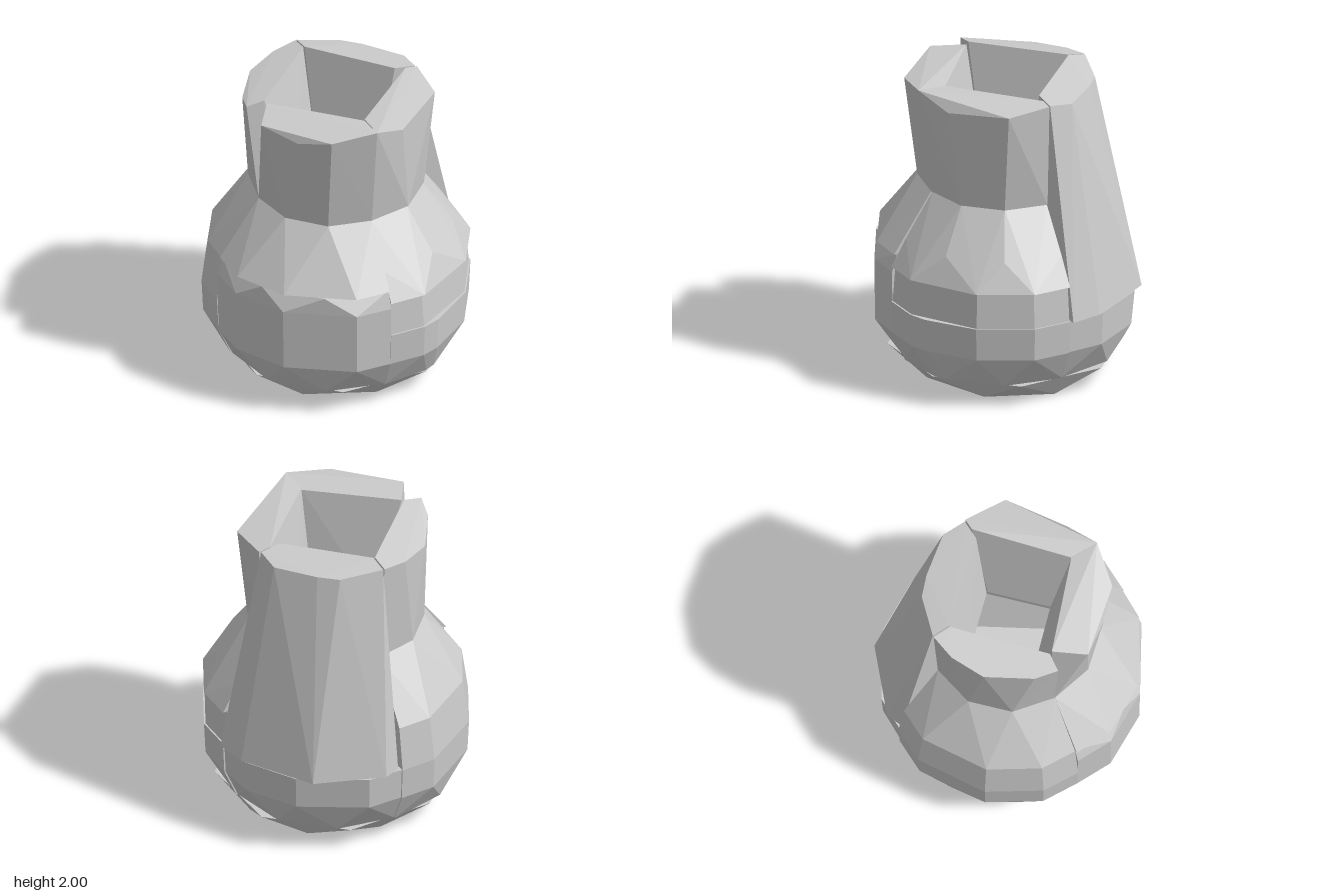
import * as THREE from 'three';
import { ConvexGeometry } from 'three/addons/geometries/ConvexGeometry.js';

const material = new THREE.MeshStandardMaterial({ color: 0xcccccc, flatShading: true });
const SEAM = -0.015; // x of the seam between the left and right pieces

// Angles used alternately, so the facets of neighbouring rings interlock
const ANGLES = [[0, 17, 42, 74, 90], [0, 30, 60, 90]];

// Points of a quarter ring: sx and sz choose the quadrant, a0..a1 limit the sweep
function quarterRing(sx, sz, y, r, set, a0 = 0, a1 = 90) {
  const angles = [a0, ...ANGLES[set].filter((a) => a > a0 && a < a1), a1];
  return angles.map((deg) => {
    const a = THREE.MathUtils.degToRad(deg);
    const rr = deg % 90 === 0 ? r : r * 1.035;
    return new THREE.Vector3(SEAM + sx * rr * Math.cos(a), y, sz * rr * Math.sin(a));
  });
}

// The two inner ends of a quarter ring; the inner wall is the chord between them
function chord(sx, sz, y, r, a0 = 0, a1 = 90) {
  return [a0, a1].map((deg) => {
    const a = THREE.MathUtils.degToRad(deg);
    return new THREE.Vector3(SEAM + sx * r * Math.cos(a), y, sz * r * Math.sin(a));
  });
}

function hull(name, points) {
  const mesh = new THREE.Mesh(new ConvexGeometry(points), material);
  mesh.name = name;
  return mesh;
}

// Solid chunk of wall from rings [y, outer radius, inner radius, angle set]
function wall(name, sx, sz, rings, a0, a1) {
  const points = rings.flatMap(([y, outer, inner, set]) => [
    ...quarterRing(sx, sz, y, outer, set, a0, a1),
    ...(inner ? chord(sx, sz, y, inner, a0, a1) : []),
  ]);
  return hull(name, points);
}

const vectors = (list) => list.map((p) => new THREE.Vector3(...p));

export function createModel() {
  const group = new THREE.Group();
  group.name = 'vase';

  // Base slab: small polygon below, larger one above, turned half a step
  const base = [];
  for (let i = 0; i < 8; i++) {
    const a = (i / 8) * Math.PI * 2, b = a + Math.PI / 8;
    base.push(new THREE.Vector3(0.615 * Math.cos(a), 0, 0.58 * Math.sin(a)));
    base.push(new THREE.Vector3(0.76 * Math.cos(b), 0.15, 0.76 * Math.sin(b)));
  }
  group.add(hull('base', base));

  // Belly
  const low = [[0.15, 0.73, 0.5, 1], [0.36, 0.82, 0, 0], [0.58, 0.83, 0.62, 0]];
  group.add(wall('frontRightBelly', -1, 1, [
    [0.15, 0.72, 0.5, 1], [0.36, 0.82, 0, 0], [0.78, 0.825, 0, 0], [0.9, 0.79, 0.58, 1],
  ]));
  group.add(wall('frontLeftBellySide', 1, 1, low, 0, 66));
  group.add(wall('frontLeftBellyFront', 1, 1, low, 66, 90));
  group.add(wall('frontLeftBellyBand', 1, 1, [[0.58, 0.82, 0.62, 0], [0.82, 0.8, 0.6, 0]]));
  group.add(wall('backRightBelly', -1, -1, low));
  group.add(wall('backLeftBelly', 1, -1, low.map(([y, o, i, s]) => [y, o - 0.01, i, s])));

  // Shoulders
  group.add(wall('frontRightShoulder', -1, 1, [[0.9, 0.81, 0.58, 0], [1.28, 0.54, 0.3, 1]]));
  group.add(wall('frontLeftShoulder', 1, 1, [[0.82, 0.83, 0.6, 0], [1.0, 0.72, 0, 1], [1.28, 0.53, 0.29, 1]]));
  group.add(wall('backRightShoulder', -1, -1, [[0.58, 0.83, 0.62, 0], [0.88, 0.79, 0, 0], [1.28, 0.54, 0.3, 1]]));

  // Neck: uneven bevelled rim above a narrower foot
  const foot = (sx, sz) => [...quarterRing(sx, sz, 1.28, 0.54, 1), ...chord(sx, sz, 1.28, 0.29)];
  group.add(hull('frontRightNeck', [...foot(-1, 1), ...vectors([
    [-0.5, 1.99, 0.01], [-0.63, 1.97, 0.2], [-0.47, 1.91, 0.41], [-0.31, 1.96, 0.57],
    [-0.02, 2, 0.63], [-0.02, 1.98, 0.44],
  ])]));
  group.add(hull('frontLeftNeck', [...foot(1, 1), ...vectors([
    [0.55, 1.97, 0], [0.54, 1.95, 0.29], [0.2, 1.91, 0.54], [-0.02, 2, 0.63],
    [-0.02, 1.99, 0.44], [0.47, 1.98, 0],
  ])]));
  group.add(hull('backRightNeck', [...foot(-1, -1), ...vectors([
    [-0.63, 1.98, -0.02], [-0.59, 1.95, -0.17], [-0.41, 1.94, -0.44], [-0.2, 1.96, -0.55],
    [-0.03, 1.98, -0.58], [-0.03, 2, -0.46], [-0.51, 2, -0.01],
  ])]));

  // Tall back left piece, running straight from the rim to the widest part
  group.add(hull('backLeftWall', vectors([
    [-0.02, 1.98, -0.58], [0.25, 1.95, -0.5], [0.36, 1.95, -0.4], [0.54, 1.95, -0.17],
    [0.54, 1.97, -0.01], [0.4, 1.99, -0.01], [-0.02, 2, -0.46],
    [-0.01, 1.28, -0.3], [0.27, 1.28, -0.01],
    [0.0, 0.58, -0.8], [0.11, 0.58, -0.84], [0.55, 0.58, -0.67], [0.81, 0.58, -0.22],
    [0.84, 0.58, -0.01], [0.6, 0.58, -0.01], [0.0, 0.58, -0.62],
  ])));

  return group;
}
